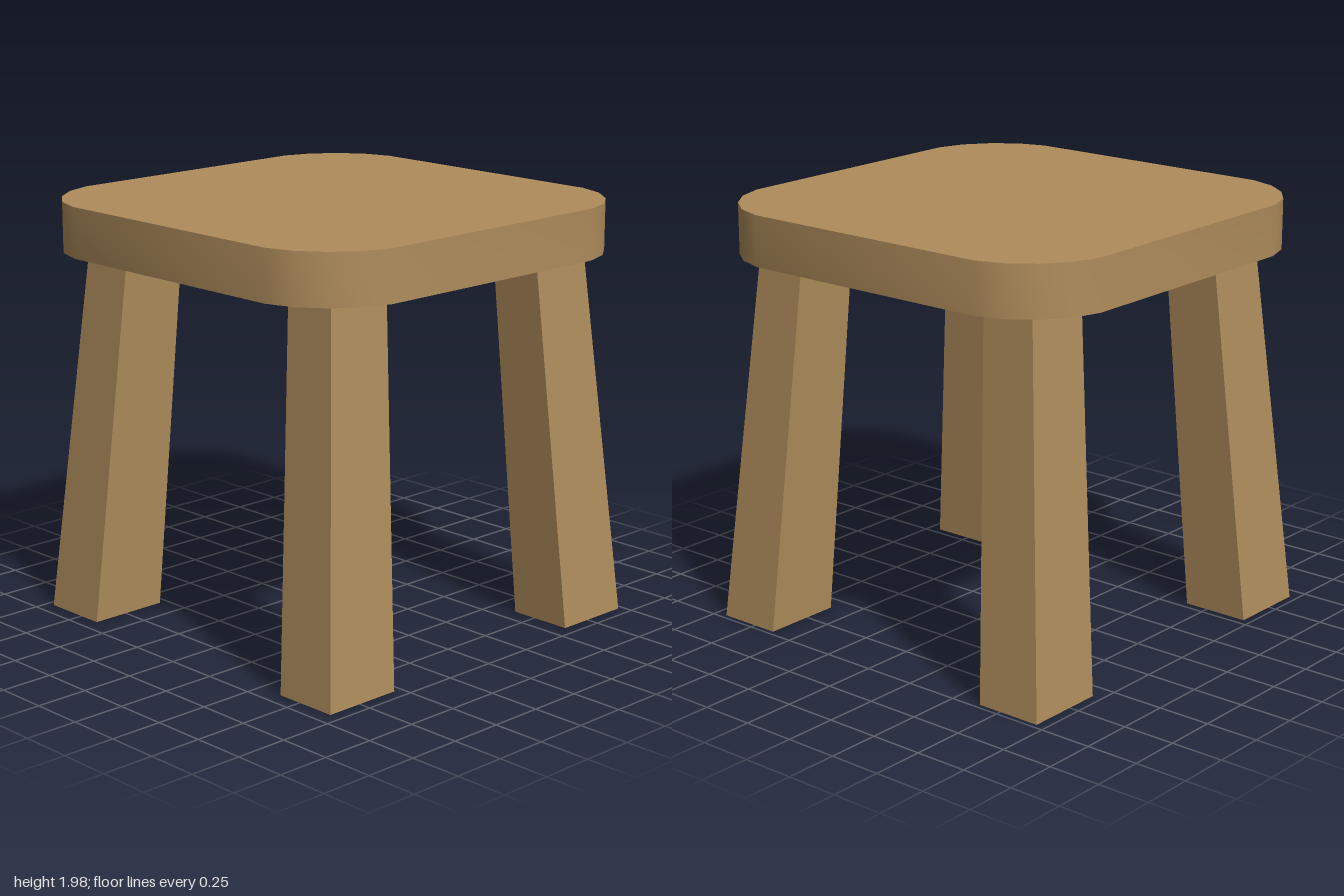
import * as THREE from 'three';
import { toCreasedNormals } from 'three/addons/utils/BufferGeometryUtils.js';

const SEAT_BOTTOM = 1.745;
const SEAT_TOP = 1.98;

// Square slab with faceted round corners and smooth-shaded sides
function seatGeometry() {
  const corner = [[1, 0.63], [0.957, 0.762], [0.873, 0.873], [0.762, 0.957], [0.63, 1]];
  const points = [];
  for (let i = 0; i < 4; i++) {
    for (const [x, y] of corner) {
      points.push(new THREE.Vector2(x, y).rotateAround(new THREE.Vector2(), i * Math.PI / 2));
    }
  }
  const geometry = new THREE.ExtrudeGeometry(new THREE.Shape(points), {
    depth: SEAT_TOP - SEAT_BOTTOM, bevelEnabled: false,
  });
  geometry.rotateX(-Math.PI / 2).translate(0, SEAT_BOTTOM, 0);
  return toCreasedNormals(geometry, 0.8);
}

// Tapered, splayed box; each footprint is [minX, maxX, minZ, maxZ]
function legGeometry(top, bottom) {
  const geometry = new THREE.BoxGeometry(1, 1, 1);
  const p = geometry.attributes.position;
  for (let i = 0; i < p.count; i++) {
    const up = p.getY(i) > 0;
    const f = up ? top : bottom;
    p.setXYZ(i, f[p.getX(i) > 0 ? 1 : 0], up ? SEAT_BOTTOM : 0, f[p.getZ(i) > 0 ? 3 : 2]);
  }
  geometry.computeVertexNormals();
  return geometry;
}

export function createModel() {
  const model = new THREE.Group();
  model.name = 'stool';
  const wood = new THREE.MeshStandardMaterial({ color: 0xb08d5c });
  wood.name = 'wood';

  const add = (name, geometry) => {
    const mesh = new THREE.Mesh(geometry, wood);
    mesh.name = name;
    model.add(mesh);
  };

  add('seat', seatGeometry());

  // Legs, each wider at the floor and leaning outwards
  const legs = {
    frontLeftLeg: [[0.5, 0.825, 0.53, 0.79], [0.59, 0.975, 0.63, 0.94]],
    frontRightLeg: [[-0.775, -0.45, 0.53, 0.79], [-0.925, -0.54, 0.63, 0.94]],
    backLeftLeg: [[0.5, 0.825, -0.8, -0.535], [0.59, 0.975, -0.952, -0.635]],
    backRightLeg: [[-0.775, -0.45, -0.805, -0.535], [-0.925, -0.54, -0.962, -0.635]],
  };
  for (const [name, [top, bottom]] of Object.entries(legs)) add(name, legGeometry(top, bottom));

  return model;
}
